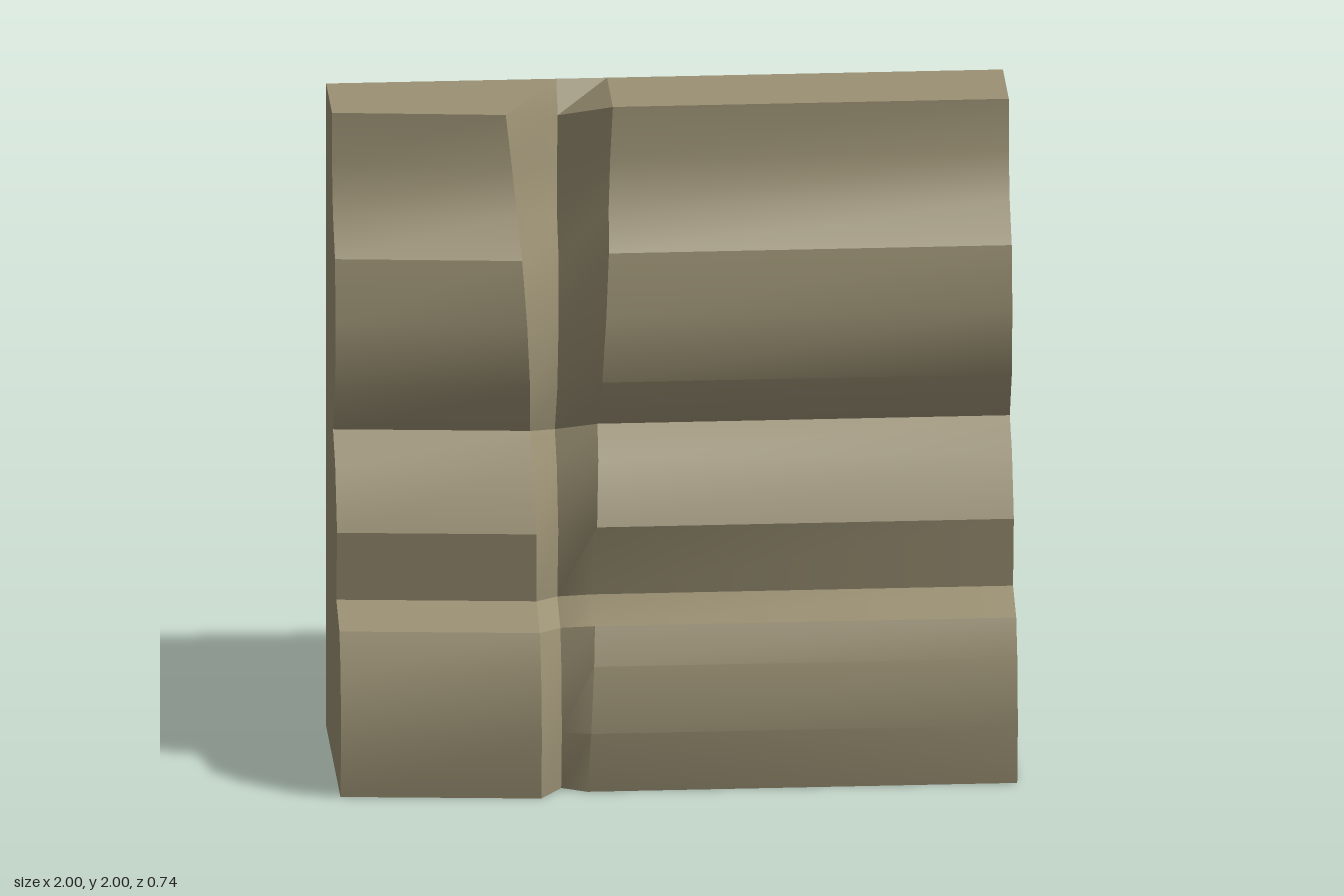
import * as THREE from 'three';
import { toCreasedNormals } from 'three/addons/utils/BufferGeometryUtils.js';

const BACK = -0.37;

// Layered front profile as [y, z], bottom to top
const PROFILE = [
  [0, 0.285], [0.19, 0.315], [0.39, 0.29], [0.5, 0.24], [0.55, 0.095],
  [0.77, 0.13], [0.95, 0.045], [1.03, -0.055], [1.19, 0.04], [1.4, 0.065],
  [1.59, 0.035], [1.7, -0.06], [1.84, -0.1], [2, -0.1],
];

// One closed ring per profile row: five front points, then five back points
function ring([y, z]) {
  const t = y / 2;
  const ridgeX = -0.41 - 0.08 * Math.pow(t, 3);
  const grooveX = -0.345 + 0.025 * Math.pow(t, 2);
  const edgeX = -0.27 + 0.1 * t;
  const front = [
    [-1, y, z],
    [ridgeX, y, z + 0.053],
    [grooveX, y - 0.09 * t, z - 0.04 - 0.16 * Math.pow(t, 1.6)],
    [edgeX, y, z],
    [1, y, z],
  ];
  const back = front.map(([x]) => [x, y, BACK]).reverse();
  return [...front, ...back];
}

function cliffGeometry() {
  const rings = PROFILE.map(ring);
  const positions = [];
  const quad = (a, b, c, d) => positions.push(...a, ...b, ...c, ...a, ...c, ...d);

  // Front, ends and back
  for (let i = 0; i < rings.length - 1; i++) {
    const lower = rings[i], upper = rings[i + 1];
    for (let j = 0; j < 10; j++) {
      const k = (j + 1) % 10;
      quad(lower[j], lower[k], upper[k], upper[j]);
    }
  }
  // Top and bottom
  const top = rings[rings.length - 1], bottom = rings[0];
  for (let j = 0; j < 4; j++) {
    quad(top[j], top[j + 1], top[8 - j], top[9 - j]);
    quad(bottom[9 - j], bottom[8 - j], bottom[j + 1], bottom[j]);
  }

  const geometry = new THREE.BufferGeometry();
  geometry.setAttribute('position', new THREE.Float32BufferAttribute(positions, 3));
  return toCreasedNormals(geometry, THREE.MathUtils.degToRad(30));
}

export function createModel() {
  const group = new THREE.Group();
  group.name = 'cliffWall';
  const rock = new THREE.MeshStandardMaterial({ color: 0x9a9073 });
  rock.name = 'rock';
  const cliff = new THREE.Mesh(cliffGeometry(), rock);
  cliff.name = 'layeredRockWithCrack';
  group.add(cliff);
  return group;
}
